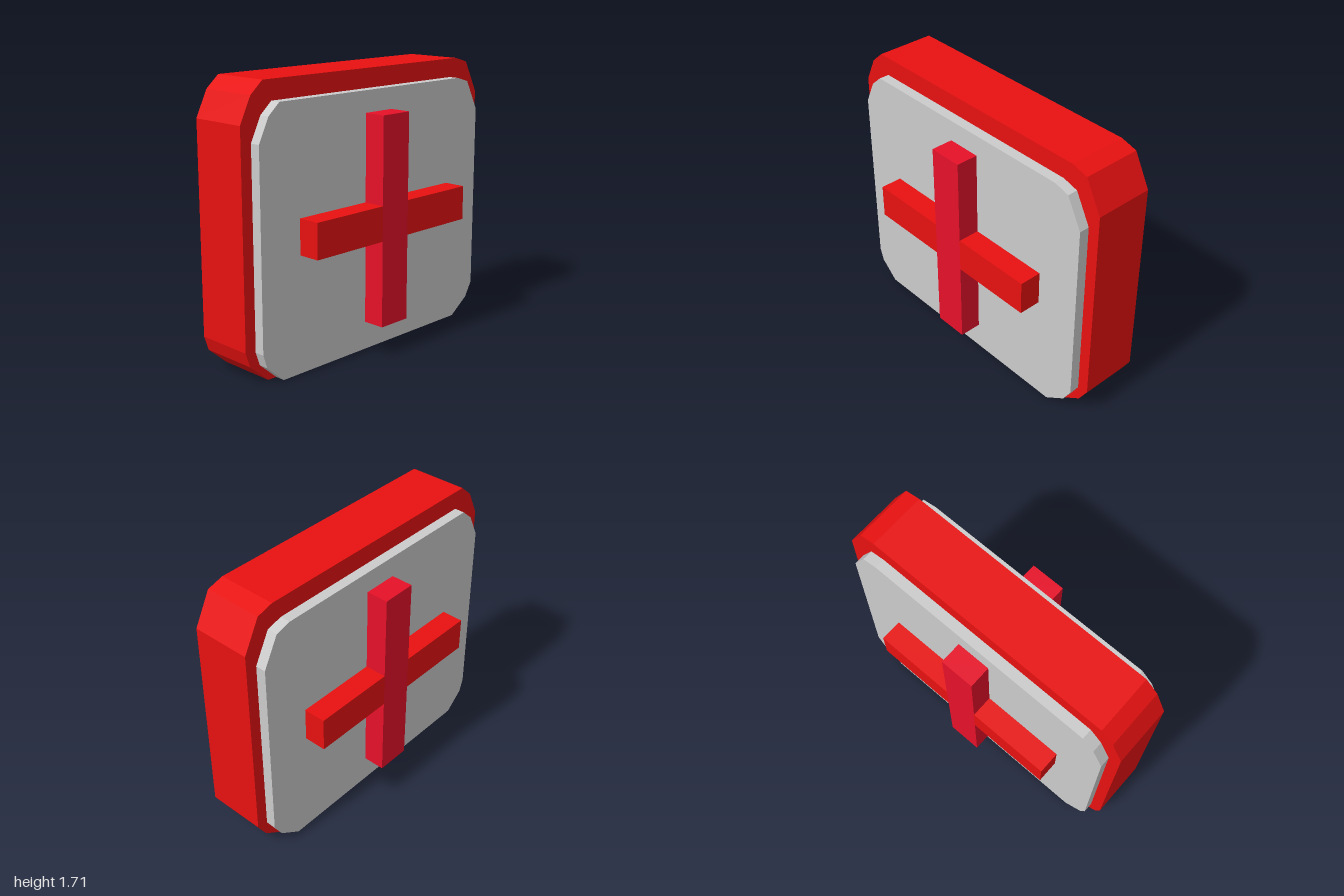
import * as THREE from 'three';

const red = new THREE.MeshStandardMaterial({ color: 0xe81110, flatShading: true });
const crimson = new THREE.MeshStandardMaterial({ color: 0xe71129, flatShading: true });
const grey = new THREE.MeshStandardMaterial({ color: 0xcccccc, flatShading: true });

// Chamfered outline, counter-clockwise from the bottom left
const outline = [
  [-0.84, 0], [0.79, 0], [0.94, 0.105], [1, 0.205], [1, 1.48], [0.895, 1.68],
  [0.79, 1.71], [-0.84, 1.71], [-0.925, 1.635], [-1, 1.48], [-1, 0.205], [-0.97, 0.115],
];

function slab(name, material, sx, sy, z0, z1) {
  const shape = new THREE.Shape(outline.map(([x, y]) => new THREE.Vector2(x * sx, y * sy)));
  const geometry = new THREE.ExtrudeGeometry(shape, { depth: z1 - z0, bevelEnabled: false });
  geometry.translate(0, 0, z0);
  const mesh = new THREE.Mesh(geometry, material);
  mesh.name = name;
  return mesh;
}

function bar(name, material, x0, x1, y0, y1, z0, z1) {
  const mesh = new THREE.Mesh(new THREE.BoxGeometry(x1 - x0, y1 - y0, z1 - z0), material);
  mesh.position.set((x0 + x1) / 2, (y0 + y1) / 2, (z0 + z1) / 2);
  mesh.name = name;
  return mesh;
}

export function createModel() {
  const model = new THREE.Group();
  model.name = 'crossCase';

  // Thick red body
  model.add(slab('body', red, 1, 1, -0.187, 0.187));

  // Grey plate and raised cross on the front and the back
  for (const [side, s] of [['front', 1], ['back', -1]]) {
    const range = (a, b) => (s > 0 ? [a, b] : [-b, -a]);
    model.add(slab(side + 'Plate', grey, 0.928, 0.931, ...range(0.187, 0.252)));

    const cross = new THREE.Group();
    cross.name = side + 'Cross';
    const z = range(0.252, 0.392);
    cross.add(bar('uprightBar', crimson, -0.11, 0.11, 0.175, 1.46, ...z));
    cross.add(bar('leftArm', red, 0.11, 0.64, 0.71, 0.925, ...z));
    cross.add(bar('rightArm', red, -0.64, -0.11, 0.71, 0.925, ...z));
    model.add(cross);
  }
  return model;
}
